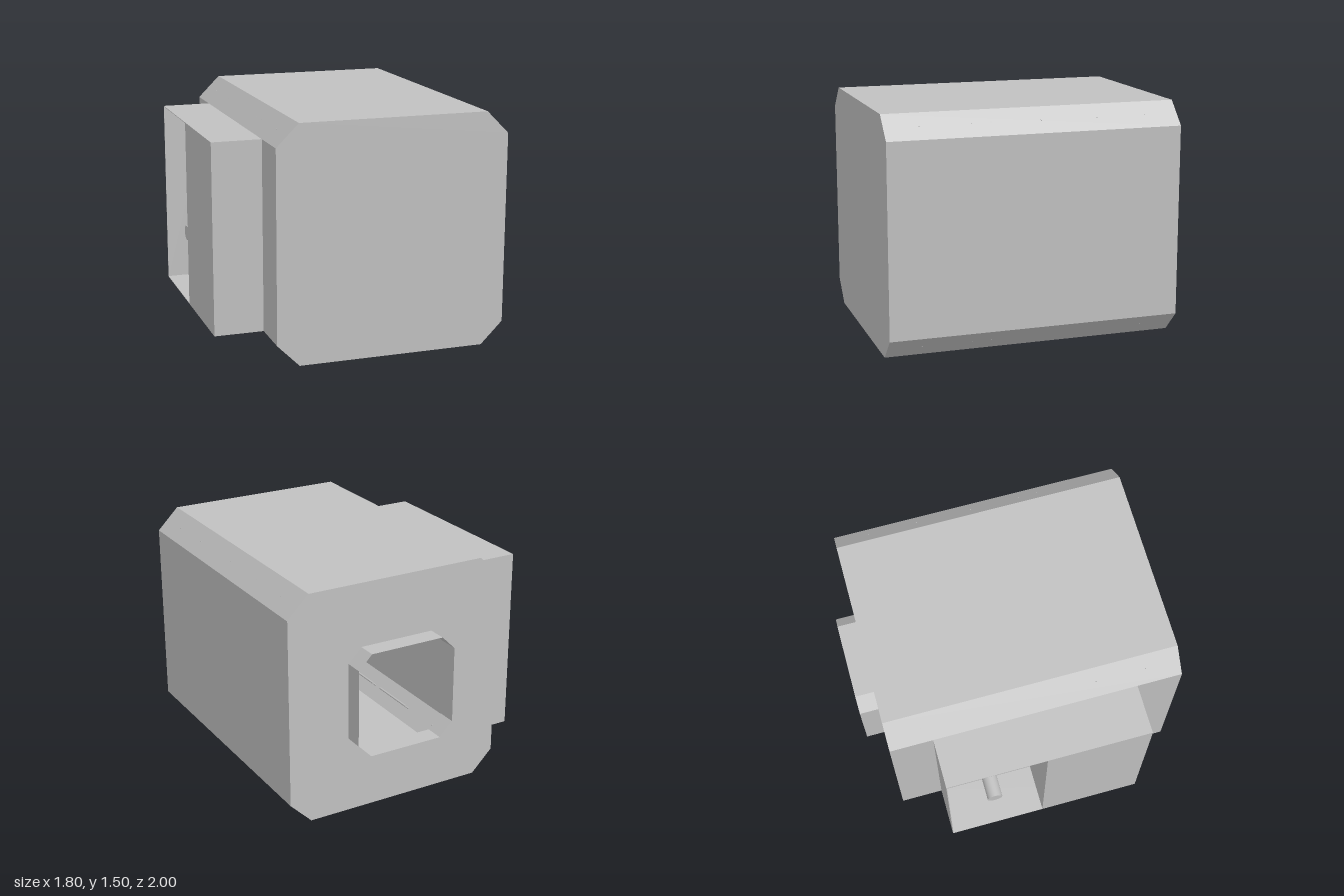
import * as THREE from 'three';

const CX = 0.155, CY = 0.75; // axis of the main cabin

export function createModel() {
  const model = new THREE.Group();
  const grey = new THREE.MeshStandardMaterial({ color: 0xc0c0c0, side: THREE.DoubleSide });
  grey.name = 'plain grey';

  const add = (name, geometry, x = 0, y = 0, z = 0, parent = model) => {
    const mesh = new THREE.Mesh(geometry, grey);
    mesh.name = name;
    mesh.position.set(x, y, z);
    parent.add(mesh);
    return mesh;
  };
  const box = (name, x0, x1, y0, y1, z0, z1) =>
    add(name, new THREE.BoxGeometry(x1 - x0, y1 - y0, z1 - z0),
      (x0 + x1) / 2, (y0 + y1) / 2, (z0 + z1) / 2);

  // Corners of a square with cut corners, counter-clockwise
  const octagon = (w, h, c) => [
    [w - c, -h], [w, c - h], [w, h - c], [w - c, h],
    [c - w, h], [-w, h - c], [-w, c - h], [c - w, -h],
  ].map(([x, y]) => new THREE.Vector2(x, y));

  // Open-ended flat-sided sleeve between two z positions
  const sleeve = (pts, z0, z1) => {
    const pos = [];
    pts.forEach((a, i) => {
      const b = pts[(i + 1) % pts.length];
      pos.push(a.x, a.y, z0, b.x, b.y, z0, b.x, b.y, z1,
        a.x, a.y, z0, b.x, b.y, z1, a.x, a.y, z1);
    });
    const g = new THREE.BufferGeometry();
    g.setAttribute('position', new THREE.Float32BufferAttribute(pos, 3));
    g.computeVertexNormals();
    // inward copies of normals are handled by the double-sided material
    return g;
  };

  // Main cabin shell
  const hull = octagon(0.745, 0.75, 0.142);
  const port = octagon(0.34, 0.34, 0.09);
  add('cabinWalls', sleeve(hull, -0.875, 1), CX, CY);
  add('frontWall', new THREE.ShapeGeometry(new THREE.Shape(hull)), CX, CY, 1);
  const backShape = new THREE.Shape(hull);
  backShape.holes.push(new THREE.Path([...port].reverse()));
  const back = new THREE.ShapeGeometry(backShape);
  back.rotateY(Math.PI);
  back.scale(-1, 1, 1); // keep the plan, face the rear
  const idx = back.index.array;
  for (let i = 0; i < idx.length; i += 3) [idx[i], idx[i + 1]] = [idx[i + 1], idx[i]];
  back.computeVertexNormals();
  for (let i = 0; i < back.attributes.normal.count; i++) back.attributes.normal.setXYZ(i, 0, 0, -1);
  // winding must agree with the rear-facing normals
  const p = back.attributes.position, [a, b, c] = idx;
  const turn = (p.getX(b) - p.getX(a)) * (p.getY(c) - p.getY(a)) -
    (p.getY(b) - p.getY(a)) * (p.getX(c) - p.getX(a));
  if (turn > 0) for (let i = 0; i < idx.length; i += 3) [idx[i], idx[i + 1]] = [idx[i + 1], idx[i]];
  add('backWall', back, CX, CY, -0.875);

  // Open docking neck at the rear
  add('neck', sleeve(port, -1, -0.875), CX, CY);

  // Side compartment: closed front half, open rear half
  const t = 0.004, X0 = -0.905, X1 = -0.59, Y0 = 0.142, Y1 = 1.358, Z0 = -0.6, Z1 = 0.71;
  box('compartmentRoof', X0, X1, Y1 - t, Y1, Z0, Z1);
  box('compartmentFloor', X0, X1, Y0, Y0 + t, Z0, Z1);
  box('compartmentBack', X0, X1, Y0, Y1, Z0, Z0 + t);
  box('compartmentFront', X0, X1, Y0, Y1, Z1 - t, Z1);
  box('compartmentPartition', X0, X1, Y0, Y1, 0.04, 0.04 + t);
  box('compartmentSide', X0, X0 + t, Y0, Y1, 0.04, Z1);

  // Round stub inside the open half
  const stub = new THREE.CylinderGeometry(0.05, 0.05, 0.25, 20);
  stub.rotateZ(Math.PI / 2);
  add('stub', stub, -0.715, 0.54, -0.28);

  // Fold-down desk with a triangular bracket on the inner wall
  box('desk', 0.6, 0.9, 0.59, 0.61, -0.32, -0.1);
  const bracket = new THREE.Shape([[0.68, 0.59], [0.9, 0.4], [0.9, 0.59]]
    .map(([x, y]) => new THREE.Vector2(x, y)));
  add('deskBracket', new THREE.ExtrudeGeometry(bracket, { depth: 0.01, bevelEnabled: false }), 0, 0, -0.3);

  // Louvres on the opposite inner wall
  for (let i = 0; i < 6; i++) {
    const y = 1.05 + i * 0.03;
    box('louvre', -0.588, -0.578, y, y + 0.01, -0.38, -0.07);
  }

  // Handrails along the four cut corners, inside the cabin
  const corner = Math.SQRT1_2;
  for (const sx of [-1, 1]) for (const sy of [-1, 1]) {
    for (const z of [0.62, 0.18, -0.5]) {
      const rail = new THREE.Group();
      rail.name = 'handrail';
      rail.position.set(CX + sx * 0.674, CY + sy * 0.679, z);
      const bar = new THREE.CylinderGeometry(0.007, 0.007, 0.34, 8);
      bar.rotateX(Math.PI / 2);
      add('railBar', bar, -sx * 0.03, -sy * 0.03, 0, rail);
      for (const dz of [-0.16, 0.16]) {
        const foot = add('railFoot', new THREE.CylinderGeometry(0.005, 0.005, 0.045, 8),
          -sx * 0.015, -sy * 0.015, dz, rail);
        foot.quaternion.setFromUnitVectors(new THREE.Vector3(0, 1, 0),
          new THREE.Vector3(sx * corner, sy * corner, 0));
      }
      model.add(rail);
    }
  }
  return model;
}
